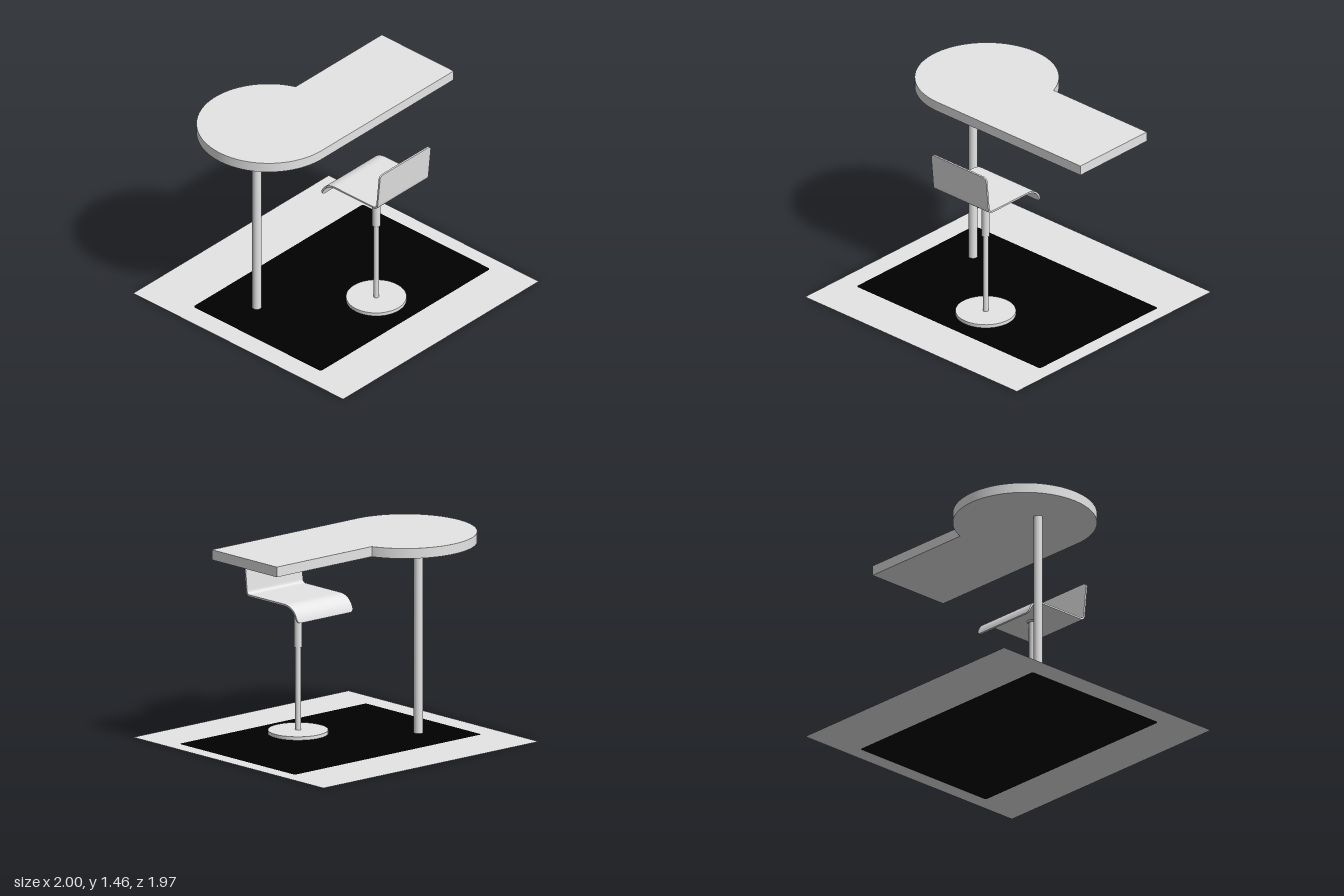
import * as THREE from 'three';
import { toCreasedNormals } from 'three/addons/utils/BufferGeometryUtils.js';

const grey = new THREE.MeshStandardMaterial({ name: 'light grey', color: 0xe5e5e5 });
const floorGrey = new THREE.MeshStandardMaterial({ name: 'floor grey', color: 0xe5e5e5, side: THREE.DoubleSide });
const black = new THREE.MeshStandardMaterial({ name: 'black', color: 0x000000, side: THREE.DoubleSide });

function add(parent, name, geometry, material = grey) {
  const mesh = new THREE.Mesh(geometry, material);
  mesh.name = name;
  parent.add(mesh);
  return mesh;
}

function cylinder(parent, name, rTop, rBottom, y0, y1, x, z) {
  const mesh = add(parent, name, new THREE.CylinderGeometry(rTop, rBottom, y1 - y0, 48));
  mesh.position.set(x, (y0 + y1) / 2, z);
}

// Rounded rectangle; shape y is -z on the ground
function roundedRect(target, x0, x1, y0, y1, r) {
  target.moveTo(x0 + r, y0).lineTo(x1 - r, y0);
  target.absarc(x1 - r, y0 + r, r, -Math.PI / 2, 0, false);
  target.absarc(x1 - r, y1 - r, r, 0, Math.PI / 2, false);
  target.absarc(x0 + r, y1 - r, r, Math.PI / 2, Math.PI, false);
  target.absarc(x0 + r, y0 + r, r, Math.PI, Math.PI * 1.5, false);
  return target;
}

// Bent sheet swept along a (z, y) profile, narrowing at both ends for rounded corners
function seatGeometry(halfWidth, thickness, cornerRadius) {
  const V = (z, y) => new THREE.Vector2(z, y);
  const path = new THREE.CurvePath();
  path.add(new THREE.LineCurve(V(0.574, 1.267), V(0.549, 1.012)));
  path.add(new THREE.QuadraticBezierCurve(V(0.549, 1.012), V(0.546, 0.981), V(0.515, 0.981)));
  path.add(new THREE.LineCurve(V(0.515, 0.981), V(0.16, 0.981)));
  path.add(new THREE.CubicBezierCurve(V(0.16, 0.981), V(0.09, 0.981), V(0.042, 0.945), V(0.027, 0.872)));
  const total = path.getLength();

  // Denser stations at the rounded ends
  const stations = [];
  for (let i = 0; i <= 8; i++) stations.push(cornerRadius * (1 - Math.cos(i / 8 * Math.PI / 2)));
  const ends = stations.map(s => total - s).reverse();
  for (let i = 1; i < 120; i++) stations.push(cornerRadius + (total - 2 * cornerRadius) * i / 120);
  stations.push(...ends);

  const positions = [], indices = [];
  stations.forEach((s, i) => {
    const u = Math.min(s / total, 1);
    const p = path.getPointAt(u);
    const a = path.getPointAt(Math.max(u - 0.002, 0)), b = path.getPointAt(Math.min(u + 0.002, 1));
    const t = b.sub(a).normalize();
    const nz = t.y * thickness / 2, ny = -t.x * thickness / 2; // toward the sitter
    const k = cornerRadius - Math.min(s, total - s, cornerRadius);
    const w = halfWidth - cornerRadius + Math.sqrt(Math.max(cornerRadius ** 2 - k * k, 0));
    positions.push(-w, p.y + ny, p.x + nz, w, p.y + ny, p.x + nz,
      w, p.y - ny, p.x - nz, -w, p.y - ny, p.x - nz);
    if (i === 0) return;
    const c = i * 4, d = c - 4;
    for (let j = 0; j < 4; j++) {
      const n = (j + 1) % 4;
      indices.push(d + j, d + n, c + j, c + j, d + n, c + n);
    }
  });
  const e = (stations.length - 1) * 4;
  indices.push(0, 2, 1, 0, 3, 2, e, e + 1, e + 2, e, e + 2, e + 3);
  const geometry = new THREE.BufferGeometry();
  geometry.setAttribute('position', new THREE.Float32BufferAttribute(positions, 3));
  geometry.setIndex(indices);
  return toCreasedNormals(geometry, 0.6);
}

export function createModel() {
  const model = new THREE.Group();
  model.name = 'barTableAndStool';

  // Floor sheet with the rug set into it
  const rugArea = [-0.845, 0.89, -0.628, 0.567, 0.02];
  const floor = new THREE.Shape([[-1, -0.98], [1, -0.98], [1, 0.985], [-1, 0.985]].map(p => new THREE.Vector2(...p)));
  floor.holes.push(roundedRect(new THREE.Path(), ...rugArea));
  add(model, 'floor', new THREE.ShapeGeometry(floor).rotateX(-Math.PI / 2), floorGrey);
  add(model, 'rug', new THREE.ShapeGeometry(roundedRect(new THREE.Shape(), ...rugArea)).rotateX(-Math.PI / 2), black);

  // Table: round end merging into a straight counter, on one post
  const table = new THREE.Group();
  table.name = 'table';
  const top = new THREE.Shape();
  top.moveTo(0.923, -0.254).lineTo(0.923, 0.418).lineTo(0.0413, 0.418);
  top.absarc(-0.425, 0.244, 0.498, 0.357, Math.PI * 1.5, false);
  const topGeometry = new THREE.ExtrudeGeometry(top, { depth: 0.072, bevelEnabled: false, curveSegments: 64 });
  topGeometry.rotateX(-Math.PI / 2).translate(0, 1.383, 0);
  add(table, 'tableTop', toCreasedNormals(topGeometry, 0.5));
  cylinder(table, 'tablePost', 0.032, 0.032, 0.001, 1.384, -0.552, -0.239);
  model.add(table);

  // Stool
  const stool = new THREE.Group();
  stool.name = 'stool';
  const x = 0.076, z = 0.305;
  cylinder(stool, 'stoolBase', 0.209, 0.209, 0.001, 0.026, x, z);
  cylinder(stool, 'stoolStem', 0.02, 0.02, 0.02, 0.62, x, z);
  cylinder(stool, 'stoolSleeve', 0.028, 0.028, 0.615, 0.966, x, z);
  cylinder(stool, 'seatFlange', 0.041, 0.034, 0.963, 0.975, x, z);
  add(stool, 'seat', seatGeometry(0.259, 0.013, 0.028)).position.x = x;
  model.add(stool);

  return model;
}
